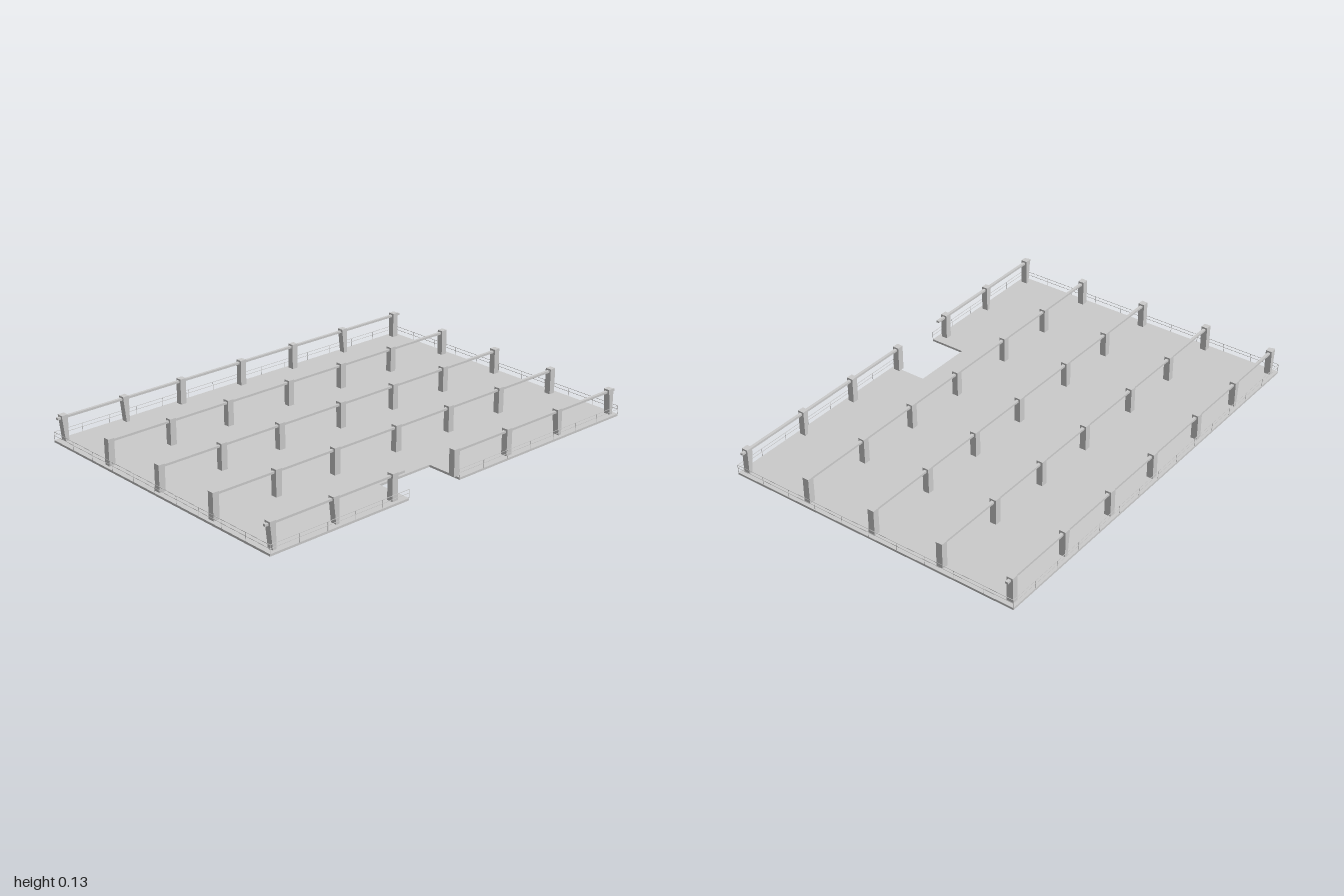
import * as THREE from 'three';

const material = new THREE.MeshStandardMaterial({ color: 0xcccccc, flatShading: true, side: THREE.DoubleSide });

const FLOOR = 0.01, POST_TOP = 0.13;
const W = 1, D = 0.712;                       // half width and half depth
const NOTCH = { x0: -0.285, x1: 0, z: 0.54 }; // entrance cut-out at the front

export function createModel() {
  const root = new THREE.Group();
  root.name = 'pillaredDeck';

  const add = (parent, name, geometry, x = 0, y = 0, z = 0) => {
    const mesh = new THREE.Mesh(geometry, material);
    mesh.name = name;
    mesh.position.set(x, y, z);
    parent.add(mesh);
    return mesh;
  };
  const group = (name) => {
    const g = new THREE.Group();
    g.name = name;
    root.add(g);
    return g;
  };

  // Floor slab with the entrance notch
  const outline = [
    [-W, D], [-W, -D], [W, -D], [W, D],
    [NOTCH.x1, D], [NOTCH.x1, NOTCH.z], [NOTCH.x0, NOTCH.z], [NOTCH.x0, D],
  ];
  const shape = new THREE.Shape(outline.map(([x, z]) => new THREE.Vector2(x, -z)));
  const slab = new THREE.ExtrudeGeometry(shape, { depth: FLOOR, bevelEnabled: false });
  slab.rotateX(-Math.PI / 2);
  add(root, 'floor', slab);

  // Grid of square posts
  const columns = [-0.97, -0.655, -0.345, 0, 0.312, 0.626, 0.966];
  const rows = [-0.68, -0.343, 0, 0.343, 0.68];
  const postHeight = POST_TOP - FLOOR;
  const postGeometry = new THREE.BoxGeometry(0.03, postHeight, 0.03);
  // Tapered posts near the corners: narrow at the foot
  const taperedGeometry = new THREE.BoxGeometry(0.03, postHeight, 0.03);
  const p = taperedGeometry.attributes.position;
  for (let i = 0; i < p.count; i++) {
    if (p.getY(i) < 0) p.setX(i, p.getX(i) < 0 ? -0.002 : 0.015);
  }
  const posts = group('posts');
  rows.forEach((z, r) => columns.forEach((x, c) => {
    const outerRow = r === 0 || r === 4;
    const tapered = outerRow && (c < 2 || c > 4) && !(r === 0 && c === 6);
    add(posts, 'post', tapered ? taperedGeometry : postGeometry, x, FLOOR + postHeight / 2, z);
  }));

  // Beams joining each row of posts near the top
  const beams = group('beams');
  const beam = (x0, x1, z) =>
    add(beams, 'beam', new THREE.BoxGeometry(x1 - x0, 0.01, 0.013), (x0 + x1) / 2, 0.117, z);
  rows.forEach((z, r) => {
    if (r === 4) {
      beam(-W, NOTCH.x0, z);
      beam(NOTCH.x1, W, z);
    } else {
      const end = r === 0 ? W : 0.97;
      beam(-end, end, z);
    }
  });

  // Thin wire fence around the edge, open at the entrance
  const fence = group('fence');
  const wire = 0.0016;
  const fenceRun = ([ax, az], [bx, bz]) => {
    const length = Math.hypot(bx - ax, bz - az);
    const alongX = Math.abs(bx - ax) > Math.abs(bz - az);
    for (const y of [0.032, 0.048]) {
      add(fence, 'fenceWire',
        new THREE.BoxGeometry(alongX ? length : wire, wire, alongX ? wire : length),
        (ax + bx) / 2, y, (az + bz) / 2);
    }
    const n = Math.max(1, Math.round(length / 0.142));
    for (let i = 0; i <= n; i++) {
      const t = i / n;
      add(fence, 'fencePicket', new THREE.BoxGeometry(wire, 0.038, wire),
        ax + (bx - ax) * t, FLOOR + 0.019, az + (bz - az) * t);
    }
  };
  const ex = W - wire / 2, ez = D - wire / 2;
  fenceRun([-ex, ez], [-ex, -ez]);
  fenceRun([-ex, -ez], [ex, -ez]);
  fenceRun([ex, -ez], [ex, ez]);
  fenceRun([ex, ez], [NOTCH.x1, ez]);
  fenceRun([NOTCH.x0, ez], [-ex, ez]);

  return root;
}
